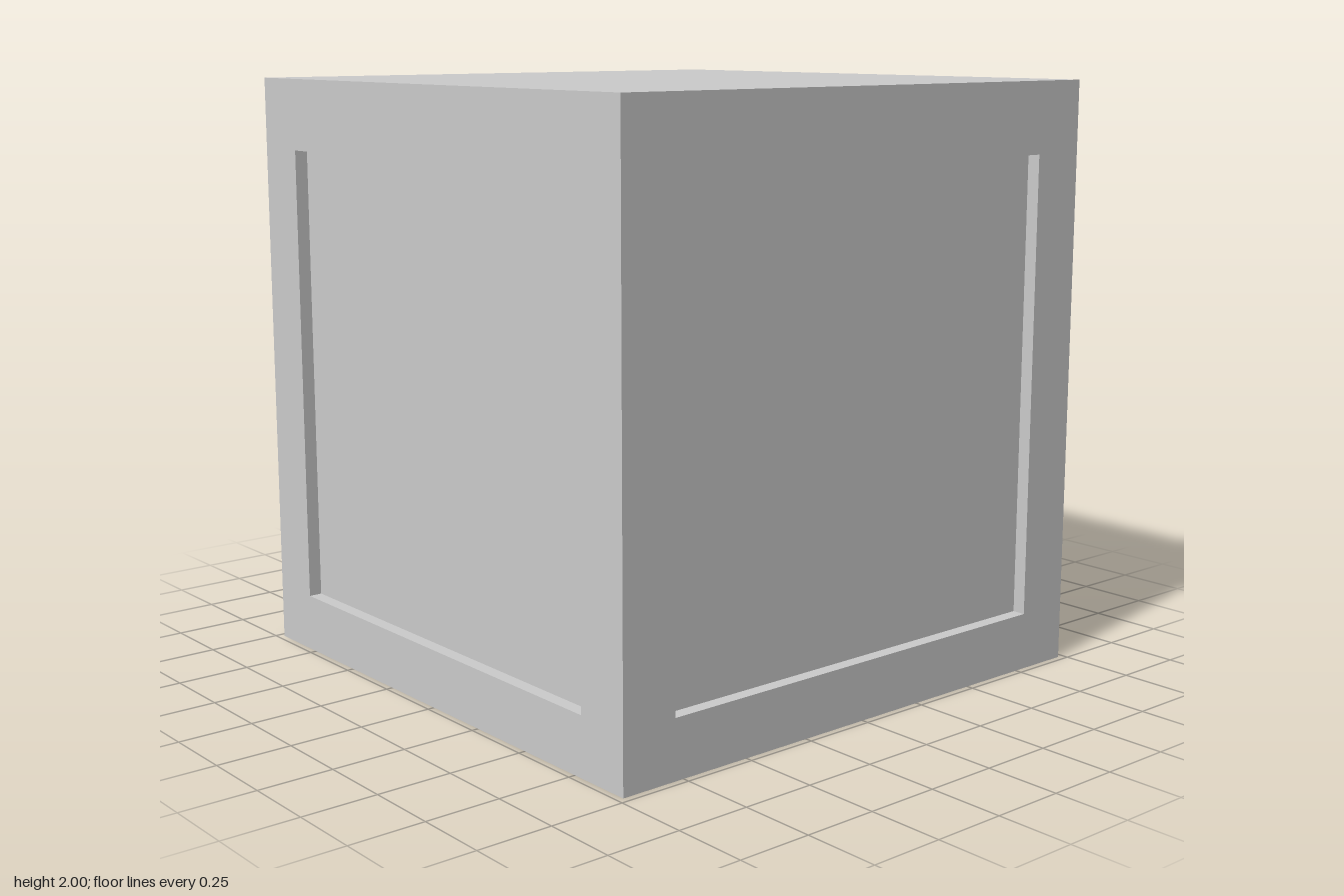
import * as THREE from 'three';

const SIZE = 1.955;    // outer width of the walls
const T = 0.045;       // board thickness
const MARGIN = 0.195;  // width of the frame around each panel

export function createModel() {
  const model = new THREE.Group();
  const material = new THREE.MeshStandardMaterial({ color: 0xcccccc });

  const add = (parent, name, geometry) => {
    const mesh = new THREE.Mesh(geometry, material);
    mesh.name = name;
    parent.add(mesh);
    return mesh;
  };

  // Closed rectangle centred on x, from y0 to y1
  const rectangle = (width, y0, y1, PathType) => new PathType([
    new THREE.Vector2(-width / 2, y0),
    new THREE.Vector2(width / 2, y0),
    new THREE.Vector2(width / 2, y1),
    new THREE.Vector2(-width / 2, y1),
  ]);

  // Four walls: a flat frame with a panel fixed behind its opening
  const opening = SIZE - 2 * MARGIN;
  ['front', 'left', 'back', 'right'].forEach((side, i) => {
    const wall = new THREE.Group();
    wall.name = side + 'Wall';
    wall.rotation.y = i * Math.PI / 2;

    // The side walls fit between the front and back walls
    const width = i % 2 ? SIZE - 2 * T : SIZE;
    const outline = rectangle(width, 0, SIZE, THREE.Shape);
    outline.holes.push(rectangle(opening, MARGIN, SIZE - MARGIN, THREE.Path));
    const frame = new THREE.ExtrudeGeometry(outline, { depth: T, bevelEnabled: false });
    add(wall, side + 'Frame', frame).position.z = SIZE / 2 - T;

    const panel = new THREE.BoxGeometry(opening, opening, T);
    add(wall, side + 'Panel', panel).position.set(0, SIZE / 2, SIZE / 2 - 1.5 * T);
    model.add(wall);
  });

  // Flat lid on top; the bottom stays open
  add(model, 'lid', new THREE.BoxGeometry(SIZE, T, SIZE)).position.y = SIZE + T / 2;

  return model;
}
